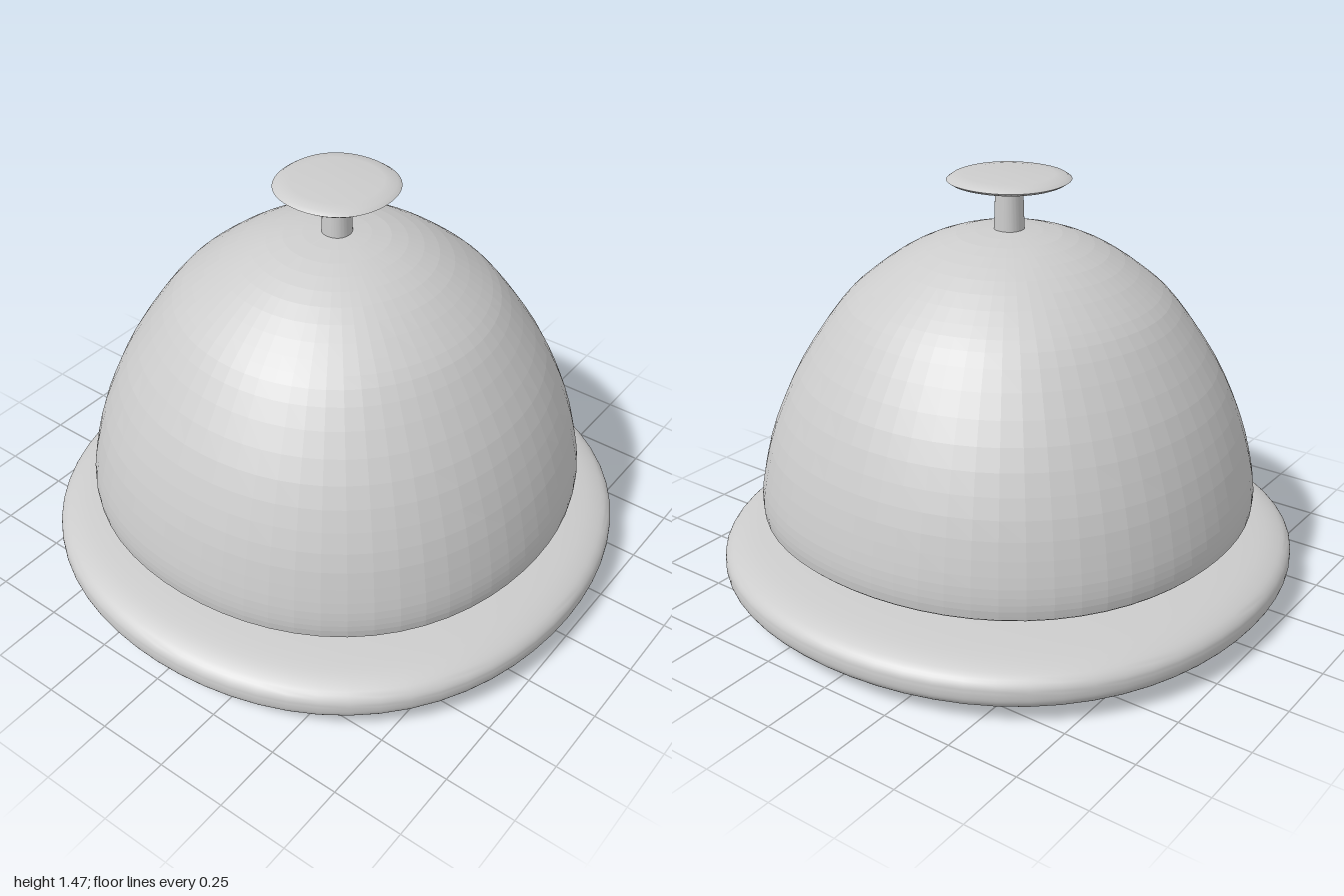
import * as THREE from 'three';
import { mergeVertices, toCreasedNormals } from 'three/addons/utils/BufferGeometryUtils.js';

const SEGMENTS = 64;

// Turned solid whose round section swells slightly towards the diagonals.
function turned(name, points, { smoothCurve = 0, flat = false, swell = () => 0.026 } = {}) {
  let profile = points.map(([r, y]) => new THREE.Vector2(r, y));
  if (smoothCurve) profile = new THREE.SplineCurve(profile).getPoints(smoothCurve);
  profile.forEach((p) => { p.x = Math.max(p.x, 0); });

  let geometry = new THREE.LatheGeometry(profile, SEGMENTS);
  const pos = geometry.attributes.position;
  for (let i = 0; i < pos.count; i++) {
    const x = pos.getX(i), y = pos.getY(i), z = pos.getZ(i);
    const k = 1 + swell(y) * (1 - Math.cos(4 * Math.atan2(z, x))) / 2;
    pos.setXYZ(i, x * k, y, z * k);
  }
  geometry.deleteAttribute('uv');
  geometry.deleteAttribute('normal');
  geometry = mergeVertices(geometry, 1e-5);
  geometry.computeVertexNormals();
  if (!flat) geometry = toCreasedNormals(geometry, 0.7);

  const mesh = new THREE.Mesh(geometry, new THREE.MeshStandardMaterial({
    color: 0xcccccc, flatShading: flat, side: THREE.DoubleSide,
  }));
  mesh.name = name;
  return mesh;
}

export function createModel() {
  const bell = new THREE.Group();
  bell.name = 'deskBell';

  // Base plate: gently crowned on both faces, with a rounded rim
  const upper = [[1, 0.113], [0.993, 0.145], [0.96, 0.172], [0.88, 0.194], [0.7, 0.21], [0.4, 0.221], [0, 0.225]];
  const lower = upper.slice(1).reverse().map(([r, y]) => [r, 0.225 - y]);
  bell.add(turned('basePlate', [...lower, ...upper], { smoothCurve: 48 }));

  // Post between the plate and the dome
  bell.add(turned('post', [[0, 0.2], [0.115, 0.2], [0.115, 0.3], [0, 0.3]]));

  // Dome: closed underside, small rounded lip, rounder towards the crown
  bell.add(turned('domeUnderside', [[0, 0.28], [0.845, 0.28], [0.853, 0.288]]));
  bell.add(turned('dome', [
    [0.853, 0.288], [0.857, 0.34], [0.845, 0.43], [0.8, 0.6], [0.715, 0.8], [0.585, 1.0],
    [0.485, 1.1], [0.34, 1.2], [0.18, 1.26], [0, 1.28],
  ], {
    smoothCurve: 27, flat: true,
    swell: (y) => 0.026 * Math.min(1, Math.max(0, (1.28 - y) / 0.7)),
  }));

  // Plunger stem and push button
  bell.add(turned('plungerStem', [[0, 1.26], [0.051, 1.26], [0.045, 1.44], [0, 1.44]]));
  bell.add(turned('pushButton', [
    [0, 1.43], [0.15, 1.432], [0.19, 1.437], [0.205, 1.447], [0.19, 1.458], [0.15, 1.463], [0, 1.465],
  ]));

  return bell;
}
